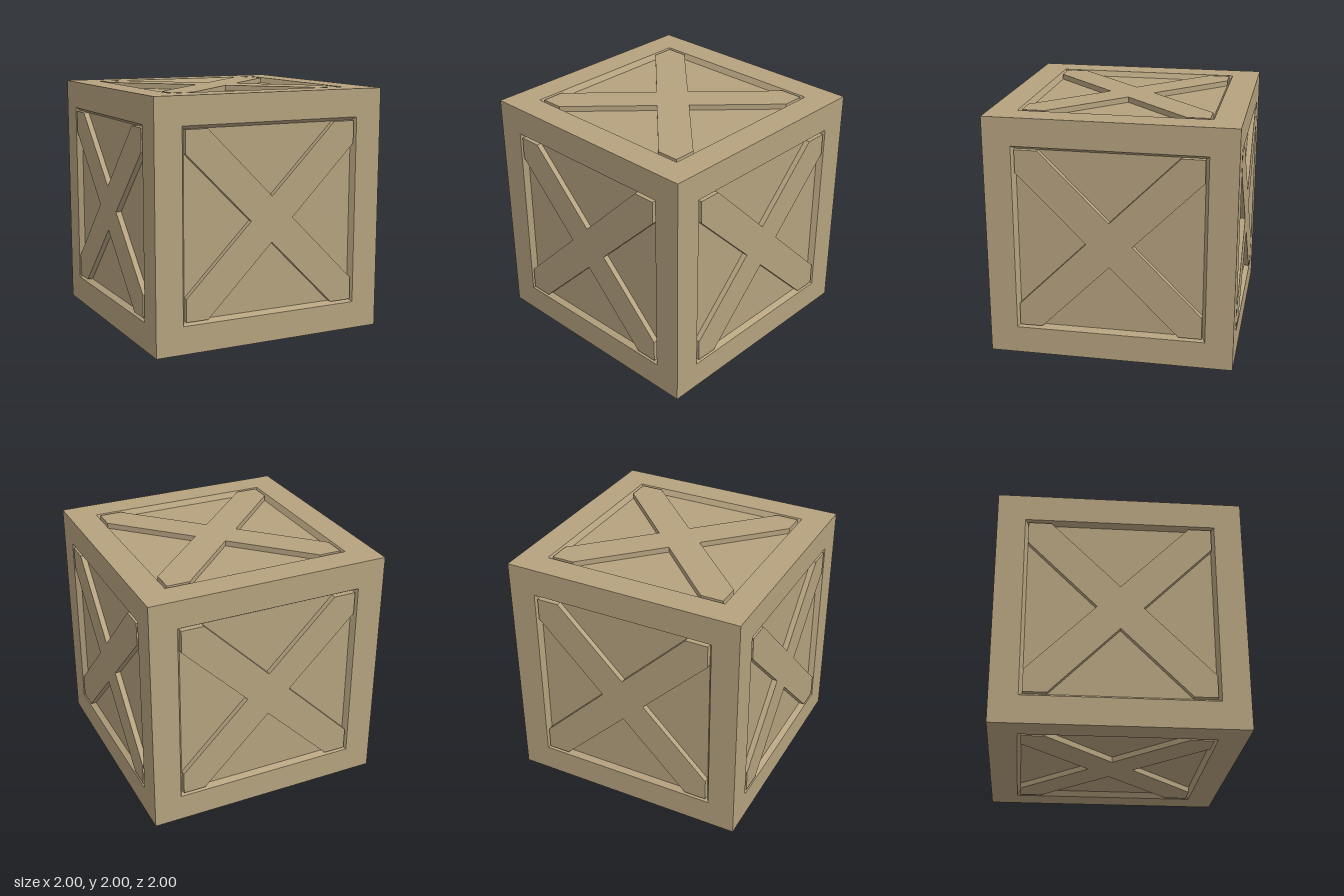
import * as THREE from 'three';

const HALF = 1;        // half the crate's side
const OPEN = 0.773;    // half opening at the outer surface
const INNER = 0.745;   // half opening at the recessed panel
const DEPTH = 0.045;   // recess depth
const NOTCH = 0.185;   // centre to the inner corner of the cross

// Square frame with sloping inner walls: a four-sided lathe facing +z
function frameGeometry() {
  const profile = [[HALF, 0], [OPEN, 0], [INNER, -DEPTH]]
    .map(([r, y]) => new THREE.Vector2(r * Math.SQRT2, y));
  const lathe = new THREE.LatheGeometry(profile, 4, Math.PI / 4).rotateX(Math.PI / 2);
  const geometry = lathe.toNonIndexed();
  geometry.computeVertexNormals();
  return geometry;
}

// X-shaped brace: one arm outline turned four times
function braceGeometry() {
  const b = INNER - NOTCH;
  const arm = [[NOTCH, 0], [INNER, b], [INNER, INNER], [b, INNER]];
  const points = [];
  for (let i = 0; i < 4; i++) {
    for (const [x, y] of arm) {
      points.push(new THREE.Vector2(x, y).rotateAround(new THREE.Vector2(), i * Math.PI / 2));
    }
  }
  return new THREE.ExtrudeGeometry(new THREE.Shape(points), { depth: DEPTH, bevelEnabled: false });
}

export function createModel() {
  const crate = new THREE.Group();
  crate.name = 'crate';
  const wood = new THREE.MeshStandardMaterial({ color: 0xb5a27f, flatShading: true });
  const frame = frameGeometry();
  const panel = new THREE.PlaneGeometry(INNER * 2, INNER * 2);
  const brace = braceGeometry();

  const q = Math.PI / 2;
  const sides = {
    front: [0, 0], back: [0, 2 * q], left: [0, q], right: [0, -q], top: [-q, 0], bottom: [q, 0],
  };
  for (const [name, [rx, ry]] of Object.entries(sides)) {
    const side = new THREE.Group();
    side.name = name + 'Side';
    const add = (part, geometry, z) => {
      const mesh = new THREE.Mesh(geometry, wood);
      mesh.name = name + part;
      mesh.position.z = z;
      side.add(mesh);
    };
    add('Frame', frame, HALF);
    add('Panel', panel, HALF - DEPTH);
    add('CrossBrace', brace, HALF - DEPTH);
    side.rotation.set(rx, ry, 0);
    side.position.y = HALF;
    crate.add(side);
  }
  return crate;
}
